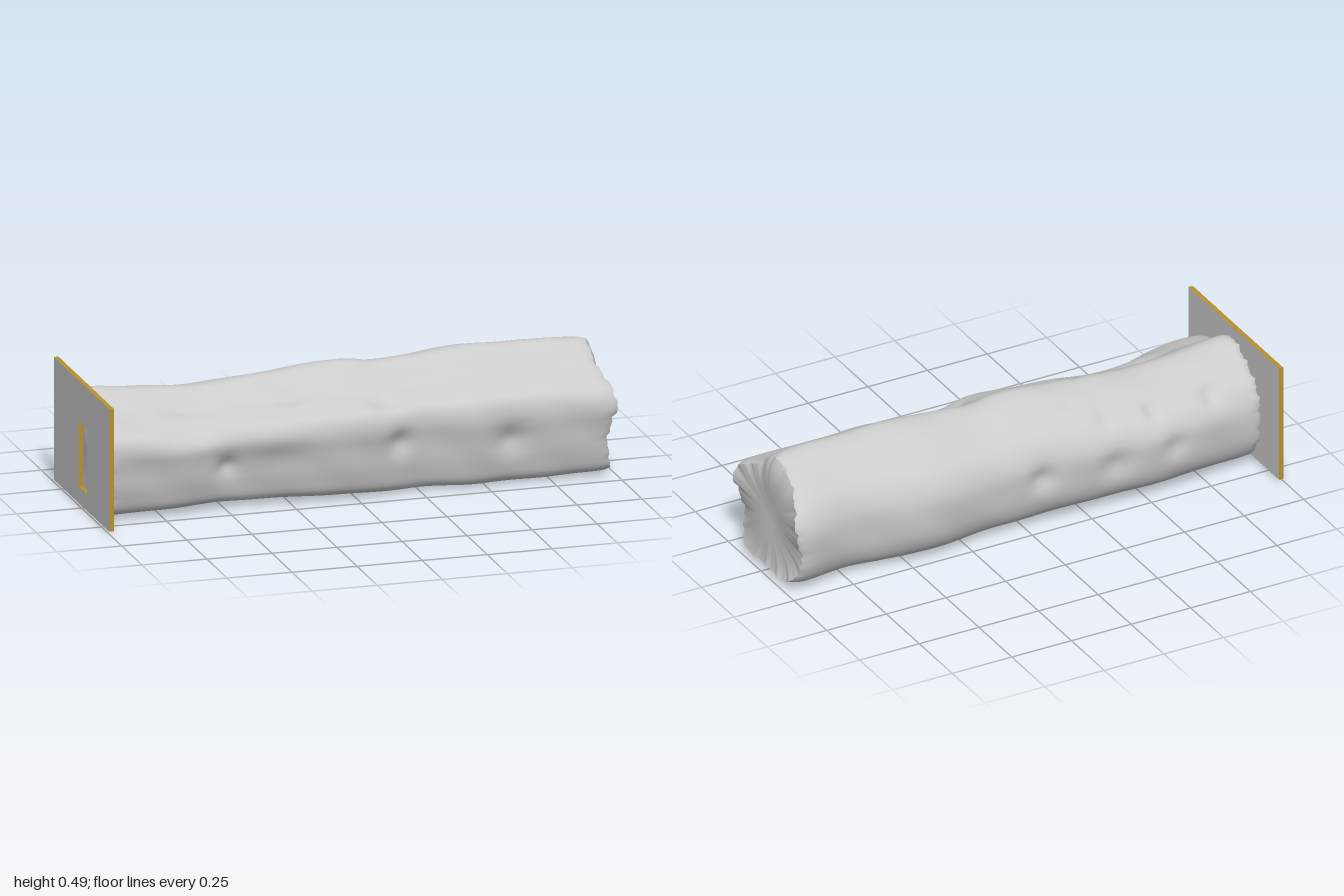
import * as THREE from 'three';

const GREY = new THREE.MeshStandardMaterial({ color: 0xcccccc, side: THREE.DoubleSide });
const GOLD = new THREE.MeshStandardMaterial({ color: 0xb8902e });
const AROUND = 96, ALONG = 150, CY = 0.23;

// Log cross-section as [z, y], starting at the top ridge and running over the back
const section = new THREE.CatmullRomCurve3([
  [0, 0.48], [-0.07, 0.465], [-0.15, 0.415], [-0.215, 0.355], [-0.248, 0.28], [-0.25, 0.2],
  [-0.235, 0.11], [-0.2, 0.05], [-0.14, 0.018], [0, 0.018], [0.12, 0.012], [0.185, 0.03],
  [0.215, 0.1], [0.235, 0.2], [0.25, 0.285], [0.235, 0.34], [0.18, 0.372], [0.1, 0.408], [0.045, 0.455],
].map(([z, y]) => new THREE.Vector3(0, y, z)), true, 'centripetal').getSpacedPoints(AROUND).slice(0, AROUND);

// Smooth lookups along the log: [x, value]
const profile = (pts) => {
  const curve = new THREE.SplineCurve(pts.map((p) => new THREE.Vector2(...p)));
  const samples = curve.getPoints(300);
  return (x) => {
    const i = samples.findIndex((p) => p.x >= x);
    if (i < 0) return samples[300].y;
    if (i === 0) return samples[0].y;
    const a = samples[i - 1], b = samples[i];
    return a.y + (b.y - a.y) * (x - a.x) / (b.x - a.x);
  };
};
const topY = profile([[-1, 0.468], [-0.8, 0.448], [-0.6, 0.432], [-0.3, 0.455], [0, 0.48], [0.15, 0.466], [0.5, 0.492], [0.9, 0.485], [1, 0.475]]);
const frontZ = profile([[-1, 0.266], [-0.7, 0.266], [-0.6, 0.25], [-0.45, 0.217], [-0.2, 0.245], [0, 0.263], [0.25, 0.222], [0.45, 0.253], [0.65, 0.233], [0.9, 0.247], [1, 0.245]]);
const backZ = profile([[-1, 0.235], [-0.85, 0.236], [-0.6, 0.264], [-0.2, 0.252], [0.1, 0.242], [0.4, 0.276], [0.6, 0.242], [0.75, 0.233], [0.92, 0.26], [1, 0.255]]);

// Knots and hollows: x, y, z, radius along x, radius across, depth (negative swells)
const dents = [
  [-0.5, 0.17, 0.22, 0.04, 0.04, 0.022], [-0.35, 0.27, 0.23, 0.12, 0.06, -0.022],
  [-0.62, 0.33, 0.24, 0.12, 0.05, 0.03], [0.16, 0.21, 0.24, 0.045, 0.05, 0.028],
  [0.58, 0.18, 0.23, 0.06, 0.055, 0.02], [-0.25, 0.4, 0.12, 0.045, 0.03, 0.02],
  [-0.31, 0.44, 0.04, 0.03, 0.03, 0.014], [-0.65, 0.4, 0.11, 0.07, 0.03, 0.018],
  [0.1, 0.37, 0.18, 0.06, 0.04, 0.016], [-0.53, 0.36, -0.2, 0.025, 0.035, 0.02],
  [-0.78, 0.36, -0.2, 0.04, 0.04, 0.02], [-0.34, 0.37, -0.2, 0.03, 0.04, 0.014],
  [-0.23, 0.43, -0.12, 0.05, 0.02, 0.008], [-0.6, 0.22, -0.25, 0.05, 0.05, 0.02],
  [-0.35, 0.2, -0.25, 0.06, 0.06, 0.022], [-0.05, 0.22, -0.25, 0.05, 0.05, 0.025],
];

const wave = (a, b) => Math.sin(a) * Math.cos(b);

// Broken rim offset around each end of the log
const rimRight = (p, j) => 0.975 + 0.008 * wave(j * 1.7, j * 0.6) + 0.012 * Math.cos(p.y * 22)
  - 0.03 * Math.max(0, (p.y - 0.36) / 0.12) - (p.z > 0.15 && p.y < 0.25 ? 0.008 : 0);
const rimLeft = (p, j) => -0.968 + 0.008 * wave(j * 1.9, j * 0.7);

function logPoint(t, j) {
  const p = section[j], x = THREE.MathUtils.lerp(rimLeft(p, j), rimRight(p, j), t);
  let z = p.z * (p.z > 0 ? frontZ(x) : backZ(x)) / 0.25;
  let y = p.y > CY ? CY + (p.y - CY) * (topY(x) - CY) / 0.25 : p.y + 0.008 * (1 - p.y / CY) * Math.cos((x - 0.5) * 3 + Math.PI);
  let inward = 0.0025 * wave(x * 17 + j * 0.2, j * 0.26 + x * 5);
  for (const [dx, dy, dz, rx, rr, depth] of dents) {
    const d = ((x - dx) / rx) ** 2 + ((y - dy) ** 2 + (z - dz) ** 2) / rr ** 2;
    inward += depth * Math.exp(-d);
  }
  // rounded break at both ends
  inward += 0.012 * (Math.exp(-t * 120) + Math.exp(-(1 - t) * 90));
  const r = Math.hypot(z, y - CY), k = 1 - inward / r;
  return new THREE.Vector3(x, Math.max(0, CY + (y - CY) * k), z * k);
}

// Skin a list of closed rings
function skin(rows) {
  const n = rows[0].length, index = [];
  for (let i = 0; i < rows.length - 1; i++) for (let j = 0; j < n; j++) {
    const k = (j + 1) % n, a = i * n + j, b = a + n, c = (i + 1) * n + k, d = i * n + k;
    index.push(a, b, d, b, c, d);
  }
  const g = new THREE.BufferGeometry().setFromPoints(rows.flat());
  g.setIndex(index);
  g.computeVertexNormals();
  return g;
}

// Uneven broken face closing one end of the log
function endFace(rim, x0) {
  const rows = [];
  for (const s of [1, 0.95, 0.85, 0.7, 0.5, 0.3, 0.15, 0.001]) {
    rows.push(rim.map((p) => {
      const y = CY + (p.y - CY) * s, z = p.z * s;
      const mid = x0 + 0.006 * wave(y * 18, z * 15);
      return new THREE.Vector3(THREE.MathUtils.lerp(mid, p.x, s ** 5), y, z);
    }));
  }
  return rows;
}

export function createModel() {
  const model = new THREE.Group();
  const add = (name, geometry, material) => {
    const mesh = new THREE.Mesh(geometry, material);
    mesh.name = name;
    model.add(mesh);
    return mesh;
  };

  // Log body, with rings packed closer at the ends
  const rings = [];
  for (let i = 0; i <= ALONG; i++) {
    const u = i / ALONG, t = u - Math.sin(u * Math.PI * 2) * 0.08;
    rings.push(section.map((_, j) => logPoint(t, j)));
  }
  add('logBody', skin(rings), GREY);
  add('logBrokenEnd', skin(endFace(rings[ALONG], 0.968)), GREY);
  add('logMountedEnd', skin(endFace(rings[0], -0.972).reverse()), GREY);

  // Mounting plate with a slot, grey faces and gold cut edges
  const rect = (P, x0, y0, x1, y1) => new P([[x0, y0], [x1, y0], [x1, y1], [x0, y1]].map((p) => new THREE.Vector2(...p)));
  const plate = rect(THREE.Shape, -0.345, 0.012, 0.345, 0.482);
  plate.holes.push(rect(THREE.Path, -0.065, 0.076, 0.04, 0.325));
  const plateGeometry = new THREE.ExtrudeGeometry(plate, { depth: 0.018, bevelEnabled: false });
  plateGeometry.rotateY(Math.PI / 2).translate(-1, 0, 0);
  add('mountingPlate', plateGeometry, [GREY, GOLD]);
  return model;
}
